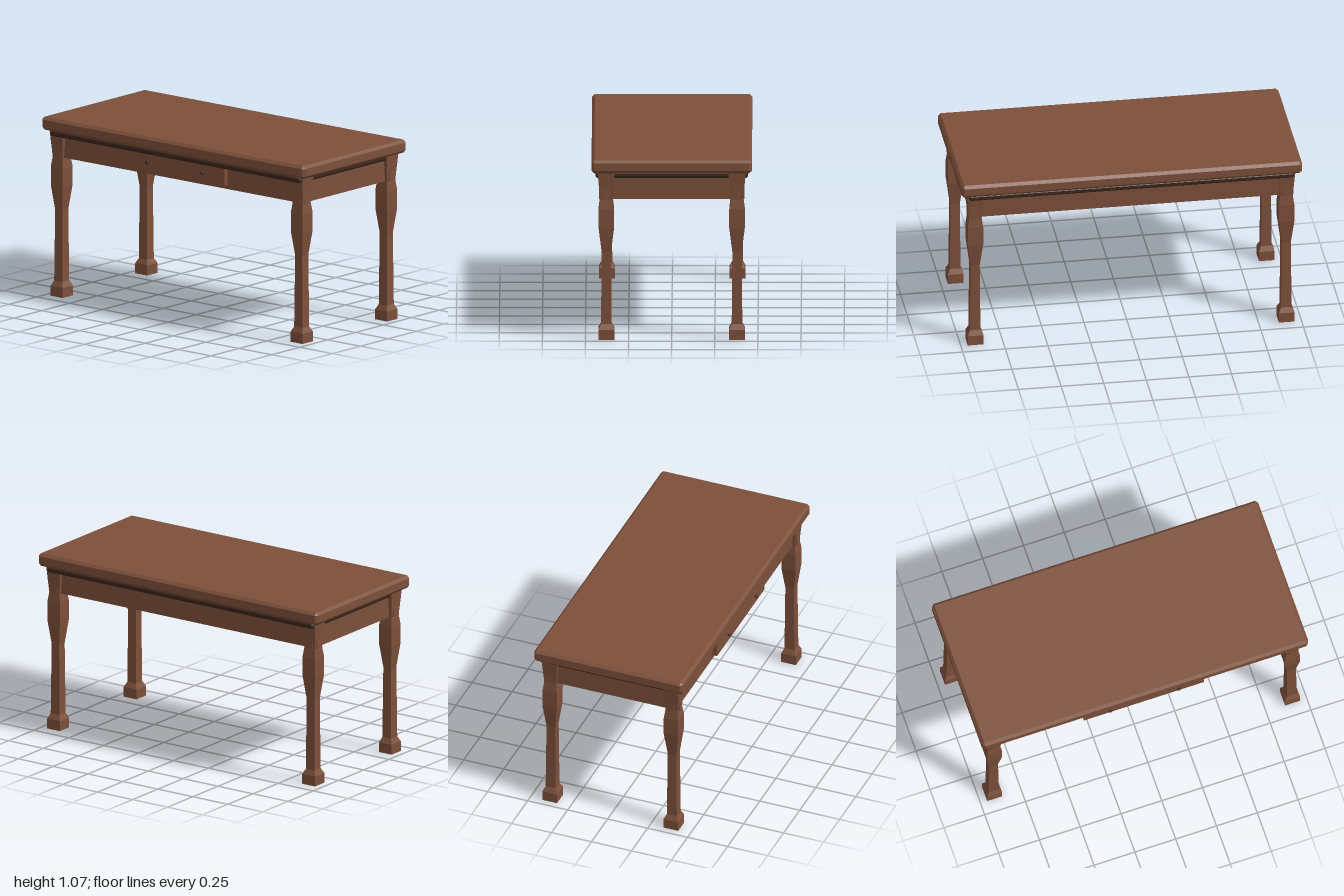
import * as THREE from 'three';
import { ConvexGeometry } from 'three/addons/geometries/ConvexGeometry.js';

const wood = new THREE.MeshStandardMaterial({ color: 0x7d503b });
wood.name = 'brown wood';
wood.flatShading = true;
const darkWood = new THREE.MeshStandardMaterial({ color: 0x3c271d });
darkWood.name = 'dark wood';
darkWood.flatShading = true;

// Box with all edges and corners cut at 45 degrees
function chamferedBox(w, h, d, c) {
  const points = [];
  for (const x of [-1, 1]) for (const y of [-1, 1]) for (const z of [-1, 1]) {
    const [X, Y, Z] = [w / 2, h / 2, d / 2];
    points.push(
      new THREE.Vector3(x * X, y * (Y - c), z * (Z - c)),
      new THREE.Vector3(x * (X - c), y * Y, z * (Z - c)),
      new THREE.Vector3(x * (X - c), y * (Y - c), z * Z));
  }
  return new ConvexGeometry(points);
}

// Square turned leg: [half width, height]
function legGeometry() {
  const profile = [
    [0, 0], [0.046, 0], [0.046, 0.06], [0.031, 0.09], [0.027, 0.515],
    [0.045, 0.66], [0.045, 0.77], [0.037, 0.83], [0.05, 0.987], [0, 0.987],
  ].map(([r, y]) => new THREE.Vector2(r * Math.SQRT2, y));
  const geometry = new THREE.LatheGeometry(profile, 4, Math.PI / 4).toNonIndexed();
  geometry.computeVertexNormals();
  return geometry;
}

export function createModel() {
  const table = new THREE.Group();
  table.name = 'table';

  function add(name, geometry, material, x, y, z) {
    const mesh = new THREE.Mesh(geometry, material);
    mesh.name = name;
    mesh.position.set(x, y, z);
    table.add(mesh);
    return mesh;
  }

  // Top slab and the dark moulding beneath it
  add('tableTop', chamferedBox(2, 0.077, 0.93, 0.016), wood, 0, 1.0285, 0);
  add('moulding', chamferedBox(1.906, 0.034, 0.884, 0.009), darkWood, 0, 0.973, 0);

  // Aprons run through the legs, so their ends show on the tapered faces
  const longApron = new THREE.BoxGeometry(1.91, 0.13, 0.045);
  const shortApron = new THREE.BoxGeometry(0.045, 0.13, 0.845);
  for (const s of [-1, 1]) {
    add(s > 0 ? 'frontApron' : 'backApron', longApron, wood, 0, 0.895, s * 0.379);
    add(s > 0 ? 'leftApron' : 'rightApron', shortApron, wood, s * 0.913, 0.895, 0);
  }

  // Legs
  const leg = legGeometry();
  for (const x of [-1, 1]) for (const z of [-1, 1]) {
    add((z > 0 ? 'front' : 'back') + (x > 0 ? 'Left' : 'Right') + 'Leg',
      leg, wood, x * 0.913, 0, z * 0.379);
  }

  // Drawer front with two small knobs
  add('drawer', new THREE.BoxGeometry(0.735, 0.102, 0.04), wood, 0, 0.905, 0.41);
  const knob = new THREE.SphereGeometry(0.011, 8, 6);
  knob.scale(1, 1, 0.7);
  const stem = new THREE.CylinderGeometry(0.003, 0.003, 0.02, 6);
  stem.rotateX(Math.PI / 2);
  for (const x of [-0.21, 0.21]) {
    add('knob', knob, darkWood, x, 0.91, 0.445);
    add('knobStem', stem, darkWood, x, 0.91, 0.435);
  }

  return table;
}
